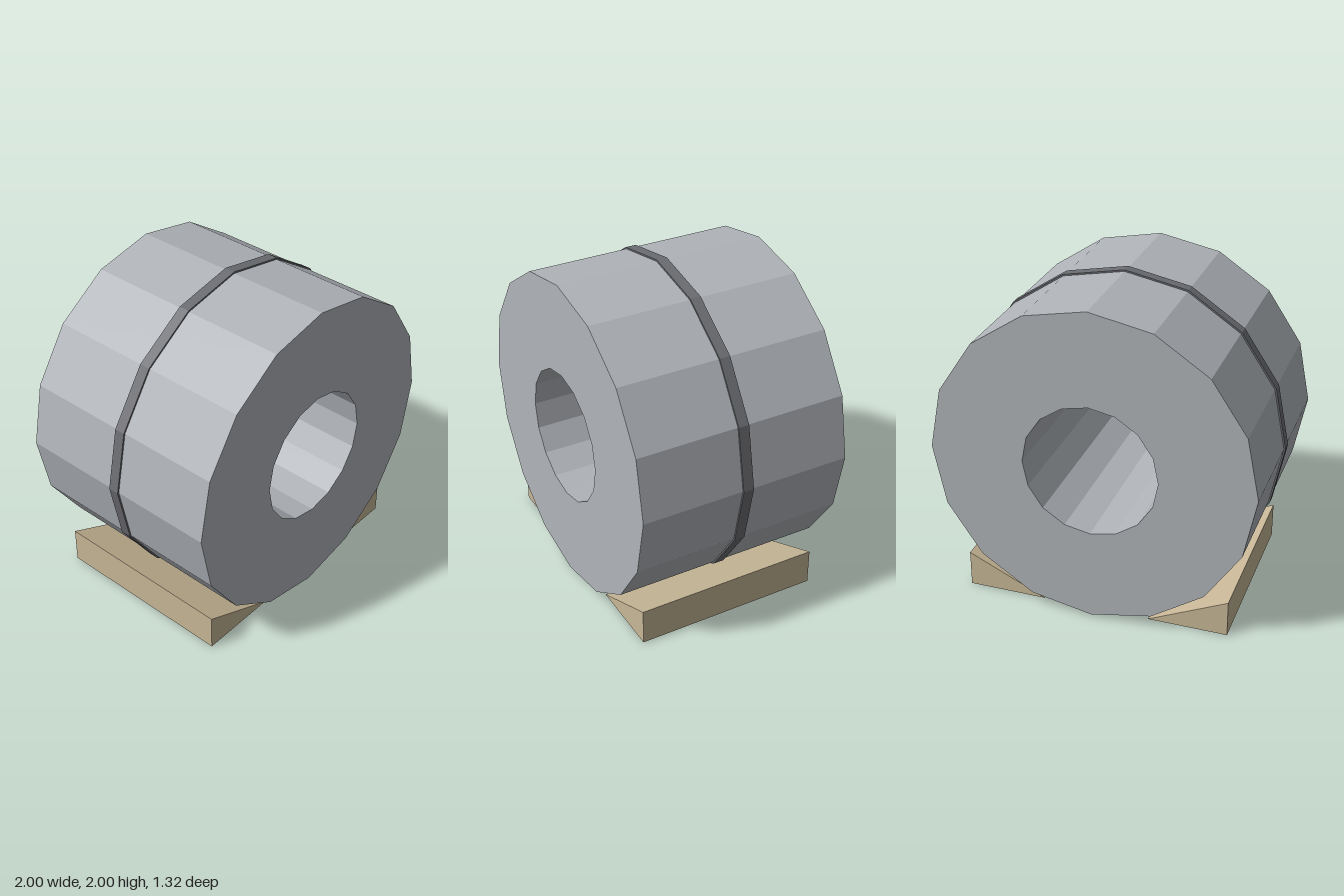
import * as THREE from 'three';

const SIDES = 16;

// Closed regular polygon outline with a corner on each axis
function polygon(radius, PathType) {
  const pts = [];
  for (let i = 0; i < SIDES; i++) {
    const a = (i / SIDES) * Math.PI * 2;
    pts.push(new THREE.Vector2(Math.cos(a) * radius, Math.sin(a) * radius));
  }
  return new PathType(pts);
}

// Extrude a shape along z, centred on z = 0
function extrude(shape, depth) {
  const geo = new THREE.ExtrudeGeometry(shape, { depth, bevelEnabled: false });
  geo.translate(0, 0, -depth / 2);
  return geo;
}

// Faceted ring with a hole through it
function ring(outer, inner, depth) {
  const shape = polygon(outer, THREE.Shape);
  shape.holes.push(polygon(inner, THREE.Path));
  return extrude(shape, depth);
}

export function createModel() {
  const steel = new THREE.MeshStandardMaterial({ color: 0xb0b4b9, flatShading: true });
  steel.name = 'steel';
  const darkSteel = new THREE.MeshStandardMaterial({ color: 0x6c6d72, flatShading: true });
  darkSteel.name = 'dark steel';
  const wood = new THREE.MeshStandardMaterial({ color: 0xc8b897, flatShading: true });
  wood.name = 'wood';

  const model = new THREE.Group();
  model.name = 'coilOnChocks';

  const add = (name, geo, material, y = 0) => {
    const mesh = new THREE.Mesh(geo, material);
    mesh.name = name;
    mesh.position.y = y;
    model.add(mesh);
  };

  // Coil body with its open bore, and the thin band around its middle
  add('coil', ring(0.99, 0.413, 1.32), steel, 1);
  add('strap', ring(1, 0.98, 0.066), darkSteel, 1);

  // Wedge chocks on both sides, thin edge under the coil
  for (const [name, s] of [['leftChock', 1], ['rightChock', -1]]) {
    const wedge = new THREE.Shape([
      new THREE.Vector2(s * 0.335, 0),
      new THREE.Vector2(s * 0.827, 0),
      new THREE.Vector2(s * 0.827, 0.23),
    ]);
    add(name, extrude(wedge, 1.16), wood);
  }

  return model;
}
